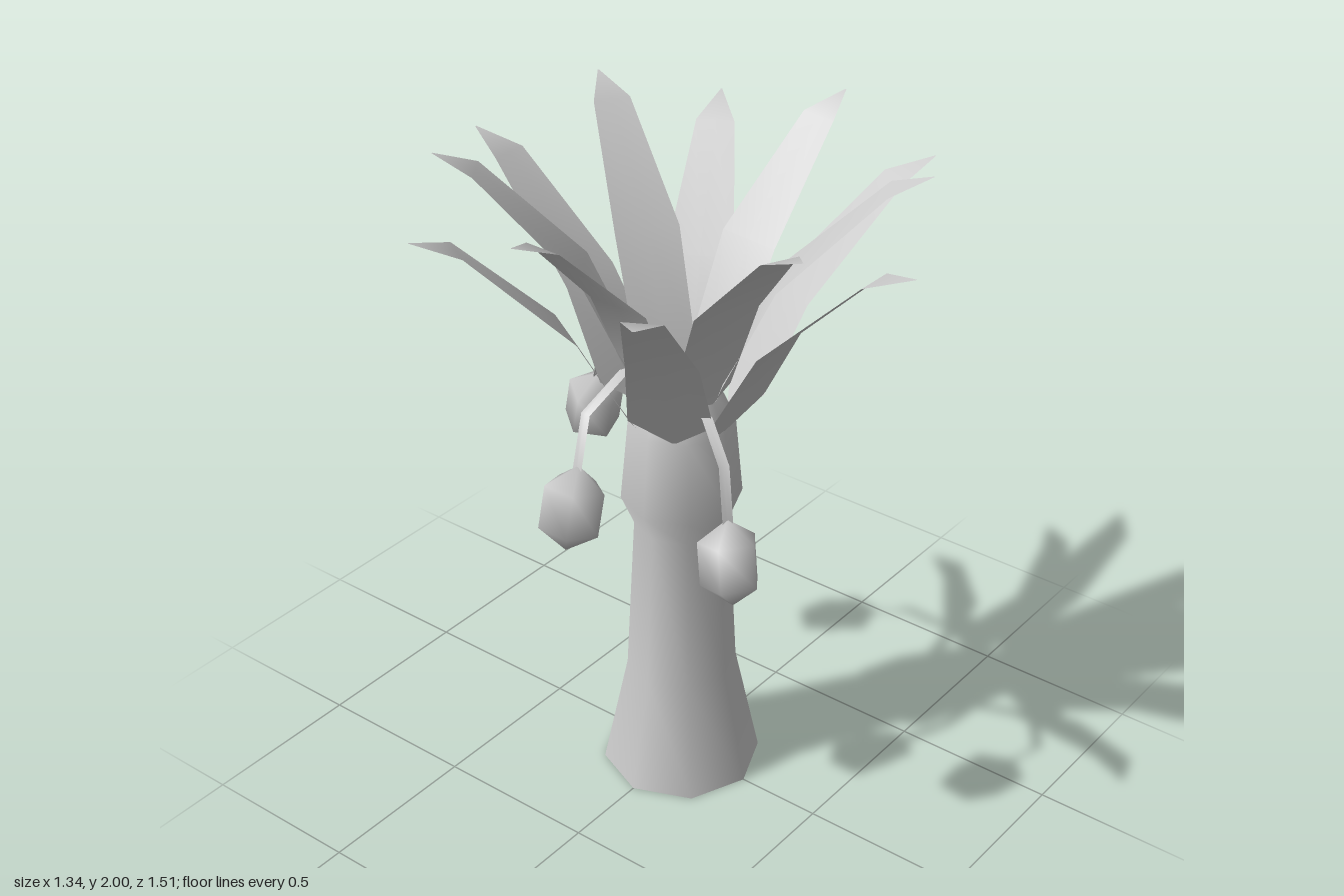
import * as THREE from 'three';

const solid = new THREE.MeshStandardMaterial({ color: 0xcccccc });
const thin = new THREE.MeshStandardMaterial({ color: 0xcccccc, side: THREE.DoubleSide });

// Bent ribbon running outward along +x; rows are [radius, height, half width]
function ribbon(rows) {
  const geo = new THREE.PlaneGeometry(1, 1, 2, rows.length - 1);
  const pos = geo.attributes.position;
  for (let i = 0; i < pos.count; i++) {
    const [r, y, half] = rows[Math.floor(i / 3)];
    pos.setXYZ(i, r, y, ((i % 3) - 1) * half);
  }
  geo.computeVertexNormals();
  return geo;
}

function addMesh(parent, name, geometry, material) {
  const mesh = new THREE.Mesh(geometry, material);
  mesh.name = name;
  parent.add(mesh);
  return mesh;
}

export function createModel() {
  const model = new THREE.Group();
  model.name = 'palmTree';

  // Trunk: flared foot, slim shaft, bulge under the crown
  const profile = [
    [0.24, 0], [0.165, 0.36], [0.14, 0.86], [0.178, 0.95],
    [0.155, 1.2], [0.1, 1.32], [0.05, 1.38], [0, 1.39],
  ].map(([r, y]) => new THREE.Vector2(r, y));
  addMesh(model, 'trunk', new THREE.LatheGeometry(profile, 8), solid);
  addMesh(model, 'trunkBase', new THREE.CircleGeometry(0.24, 8), solid).rotation.x = Math.PI / 2;

  // Two rings of six leaves; angles in degrees, counter-clockwise from +x seen from above
  const lowerLeaf = ribbon([
    [0.14, 1.2, 0.002], [0.2, 1.3, 0.12], [0.335, 1.55, 0.1],
    [0.63, 1.845, 0.056], [0.757, 1.89, 0.002],
  ]);
  const upperLeaf = ribbon([
    [0.08, 1.22, 0.002], [0.125, 1.36, 0.09], [0.27, 1.67, 0.097],
    [0.555, 1.955, 0.055], [0.67, 2, 0.002],
  ]);
  const rings = [
    ['lowerLeaf', lowerLeaf, [89, 29, -31, -91, -151, 149]],
    ['upperLeaf', upperLeaf, [59, -6, -61, -116, 179, 124]],
  ];
  for (const [name, geo, angles] of rings) {
    for (const a of angles) {
      addMesh(model, name, geo, thin).rotation.y = THREE.MathUtils.degToRad(a);
    }
  }

  // Fruits hanging from flat, drooping stems
  const stemGeo = ribbon([
    [0.05, 1.28, 0.015], [0.14, 1.32, 0.015], [0.25, 1.345, 0.015],
    [0.41, 1.285, 0.015], [0.455, 1.11, 0.015],
  ]);
  const fruitGeo = new THREE.SphereGeometry(1, 5, 3);
  fruitGeo.scale(0.1, 0.125, 0.1);
  for (const [angle, lift] of [[-126, 0], [72, 0], [179, 0.12]]) {
    const bunch = new THREE.Group();
    bunch.name = 'fruitBunch';
    bunch.rotation.y = THREE.MathUtils.degToRad(angle);
    bunch.position.y = lift;
    addMesh(bunch, 'stem', stemGeo, thin);
    const fruit = addMesh(bunch, 'fruit', fruitGeo, solid);
    fruit.position.set(0.475, 1.018, 0);
    fruit.rotation.z = 0.25;
    model.add(bunch);
  }
  return model;
}
